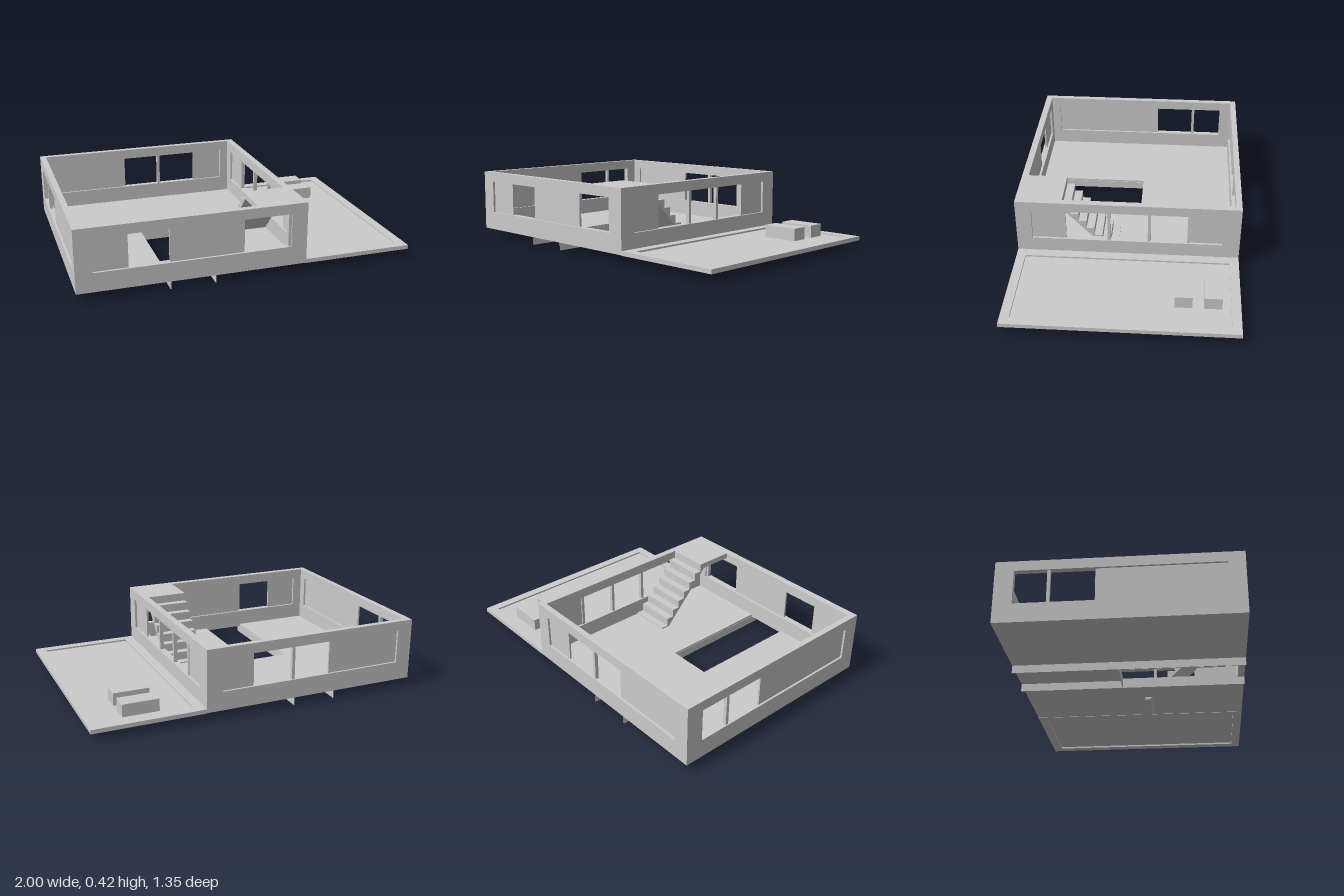
import * as THREE from 'three';

const mat = new THREE.MeshStandardMaterial({ color: 0xcccccc, flatShading: true });
const BASE = 0.047, TOP = 0.42, SILL = 0.16, HEAD = 0.36;

// Box from its minimum and maximum corners
function box(name, x0, x1, y0, y1, z0, z1) {
  const m = new THREE.Mesh(new THREE.BoxGeometry(x1 - x0, y1 - y0, z1 - z0), mat);
  m.position.set((x0 + x1) / 2, (y0 + y1) / 2, (z0 + z1) / 2);
  m.name = name;
  return m;
}

function rect(Type, x0, x1, y0, y1) {
  const s = new Type();
  s.moveTo(x0, y0).lineTo(x1, y0).lineTo(x1, y1).lineTo(x0, y1).closePath();
  return s;
}

// Extruded rectangle with one rectangular hole
function holed(name, outer, hole, depth) {
  const s = rect(THREE.Shape, ...outer);
  s.holes.push(rect(THREE.Path, ...hole));
  const m = new THREE.Mesh(new THREE.ExtrudeGeometry(s, { depth, bevelEnabled: false }), mat);
  m.name = name;
  return m;
}

// Wall with a long window band, filled by thin panels and slim posts
function wall(name, [a0, a1], [w0, w1], depth, panels, posts) {
  const g = new THREE.Group();
  g.name = name;
  g.add(holed(name + 'Shell', [a0, a1, BASE, TOP], [w0, w1, SILL, HEAD], depth));
  for (const [p0, p1] of panels)
    g.add(box('windowPanel', p0, p1, SILL, HEAD, depth * 0.35, depth * 0.65));
  for (const p of posts)
    g.add(box('windowPost', p - 0.009, p + 0.009, SILL, HEAD, depth * 0.2, depth * 0.8));
  return g;
}

// Flat slab with a hole, given in x and z
function slab(name, outer, hole, y0, y1) {
  const m = holed(name, outer, hole, y1 - y0);
  m.rotation.x = Math.PI / 2;
  m.position.y = y1;
  return m;
}

export function createModel() {
  const model = new THREE.Group();
  model.name = 'house';

  // Four outer walls
  const front = wall('frontWall', [-1, 0.335], [-0.905, 0.24], 0.04,
    [[-0.905, -0.705], [-0.475, -0.04]], [0.232]);
  front.position.z = 0.63;
  const back = wall('backWall', [-1, 0.335], [-0.905, 0.24], 0.035,
    [[-0.905, -0.44], [0.045, 0.24]], [-0.205]);
  back.position.z = -0.675;
  const right = wall('yardSideWall', [-0.64, 0.63], [-0.57, 0.575], 0.04,
    [[-0.57, -0.38], [0.37, 0.575]], [0.11, -0.132, -0.37]);
  right.position.x = 0.335;
  const left = wall('farSideWall', [-0.64, 0.63], [-0.57, 0.575], 0.035,
    [[-0.13, 0.575]], [-0.38]);
  left.position.x = -0.965;
  right.rotation.y = left.rotation.y = -Math.PI / 2;
  model.add(front, back, right, left);

  // Floor with its long opening, and the plates hanging below it
  model.add(slab('floor', [-0.97, 0.3, -0.645, 0.635], [-0.475, -0.212, -0.055, 0.63], BASE, 0.062));
  for (const x of [-0.477, -0.214])
    model.add(box('beamPlate', x, x + 0.004, 0, BASE + 0.003, -0.675, 0.67));
  model.add(box('crossPlate', -0.475, -0.212, 0, BASE + 0.003, -0.059, -0.055));

  // Stairs rising to the front, ending in a landing level with the wall tops
  const pts = [[0.09, 0.03], [0.06, 0.03]];
  const steps = 7, run = 0.33 / steps, rise = 0.05;
  for (let i = 0; i < steps; i++) {
    const y = 0.07 + i * rise;
    pts.push([0.06 + i * run, y], [0.06 + (i + 1) * run, y]);
  }
  pts.push([0.39, TOP], [0.63, TOP], [0.63, 0.385], [0.423, 0.385]);
  const profile = new THREE.Shape(pts.map(([z, y]) => new THREE.Vector2(z, y)));
  const stairs = new THREE.Mesh(
    new THREE.ExtrudeGeometry(profile, { depth: 0.25, bevelEnabled: false }), mat);
  stairs.rotation.y = -Math.PI / 2;
  stairs.position.x = 0.295;
  stairs.name = 'stairs';
  model.add(stairs);

  // Side yard: rim, thin ground sheet and two blocks
  model.add(slab('yardRim', [0.335, 1, -0.675, 0.67], [0.395, 0.945, -0.62, 0.615], BASE - 0.002, 0.07));
  model.add(box('yardGround', 0.39, 0.95, 0.056, 0.06, -0.625, 0.62));
  for (const z of [-0.568, -0.4])
    model.add(box('yardBlock', 0.575, 0.792, 0.058, 0.135, z, z + 0.102));

  return model;
}
